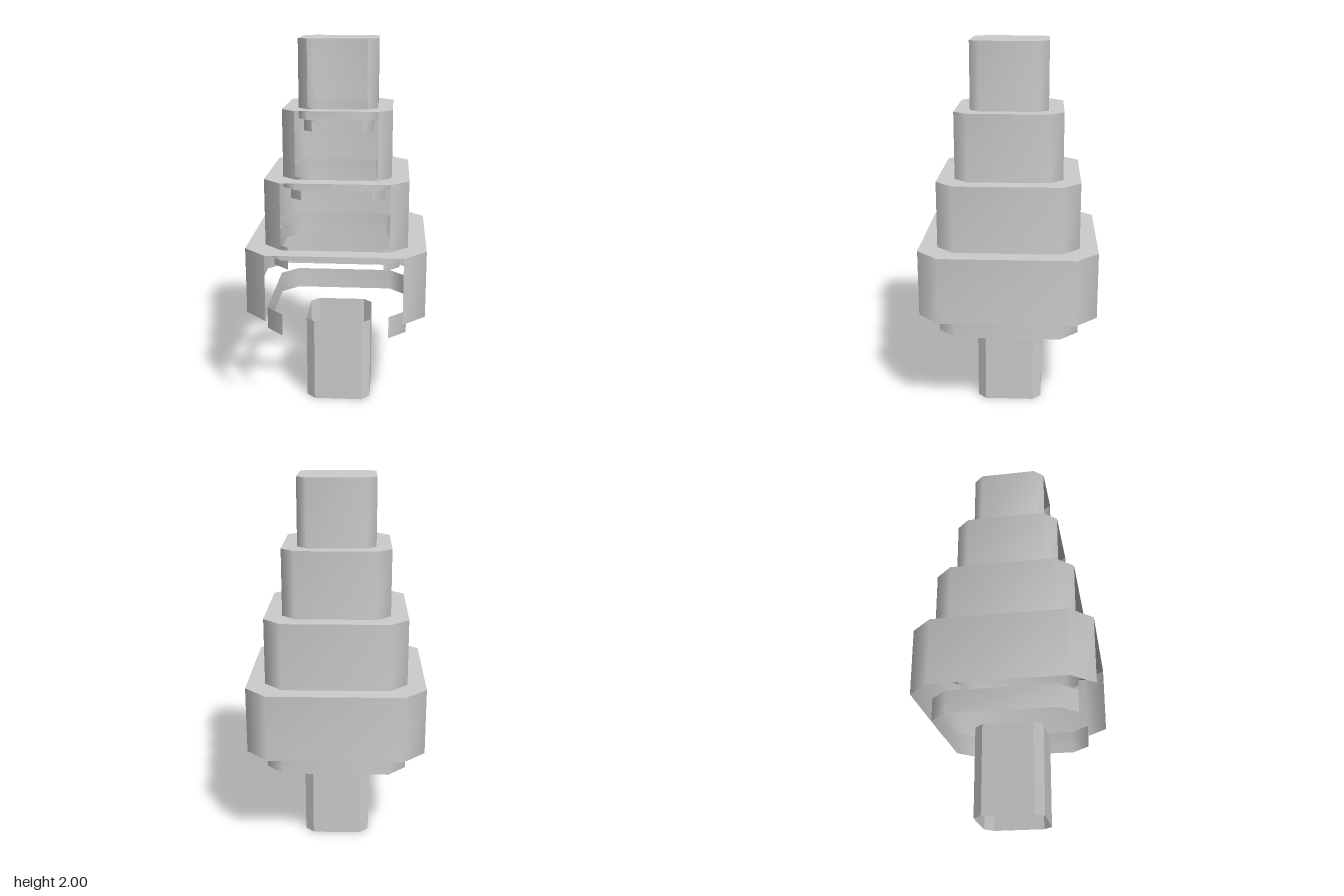
import * as THREE from 'three';

const material = new THREE.MeshStandardMaterial({ color: 0xcccccc, side: THREE.DoubleSide });

// Corners of a square with cut corners, as [x, z], from the front left corner round the back
function outline(half, cut = half * 0.75) {
  const h = half, c = cut;
  return [[c, h], [h, c], [h, -c], [c, -h], [-c, -h], [-h, -c], [-h, c], [-c, h]];
}

// Upright wall along the outline; an unclosed band has no front panel
function band(half, y0, y1, closed, cut) {
  const points = outline(half, cut);
  const positions = [], index = [];
  points.forEach(([x, z]) => positions.push(x, y0, z, x, y1, z));
  const panels = closed ? 8 : 7;
  for (let i = 0; i < panels; i++) {
    const a = i * 2, b = ((i + 1) % 8) * 2;
    index.push(a, b, b + 1, a, b + 1, a + 1);
  }
  const geometry = new THREE.BufferGeometry();
  geometry.setAttribute('position', new THREE.Float32BufferAttribute(positions, 3));
  geometry.setIndex(index);
  geometry.computeVertexNormals();
  return geometry;
}

// Flat top plate, with a hole where the next tier stands
function plate(half, hole, y) {
  const toVectors = (h) => outline(h).map(([x, z]) => new THREE.Vector2(x, -z));
  const shape = new THREE.Shape(toVectors(half));
  if (hole) shape.holes.push(new THREE.Path(toVectors(hole)));
  return new THREE.ShapeGeometry(shape).rotateX(-Math.PI / 2).translate(0, y, 0);
}

function add(parent, name, geometry) {
  const mesh = new THREE.Mesh(geometry, material);
  mesh.name = name;
  parent.add(mesh);
}

export function createModel() {
  const model = new THREE.Group();
  model.name = 'tieredTree';

  // Trunk: open, flat-sided tube
  const trunk = band(0.178, 0, 0.47, true, 0.132).toNonIndexed();
  trunk.computeVertexNormals();
  add(model, 'trunk', trunk);

  // Foliage tiers, each open at the front
  const tiers = [
    { half: 0.47, skirt: 0.373, y0: 0.587, y1: 0.943 },
    { half: 0.374, skirt: 0.333, y0: 0.943, y1: 1.296 },
    { half: 0.283, skirt: 0.248, y0: 1.296, y1: 1.648 },
    { half: 0.204, skirt: 0.179, y0: 1.648, y1: 2 },
  ];
  tiers.forEach(({ half, skirt, y0, y1 }, i) => {
    const tier = new THREE.Group();
    tier.name = `tier${i + 1}`;
    const next = tiers[i + 1]?.half;
    add(tier, 'wall', band(half, y0, y1, false));
    add(tier, 'skirt', band(skirt, y0 - 0.12, y0, false));
    add(tier, 'topPlate', plate(half, next, y1));
    // Collar hanging from the edge of the hole
    if (next) add(tier, 'collar', band(next, y1 - 0.056, y1, true));
    model.add(tier);
  });
  return model;
}
